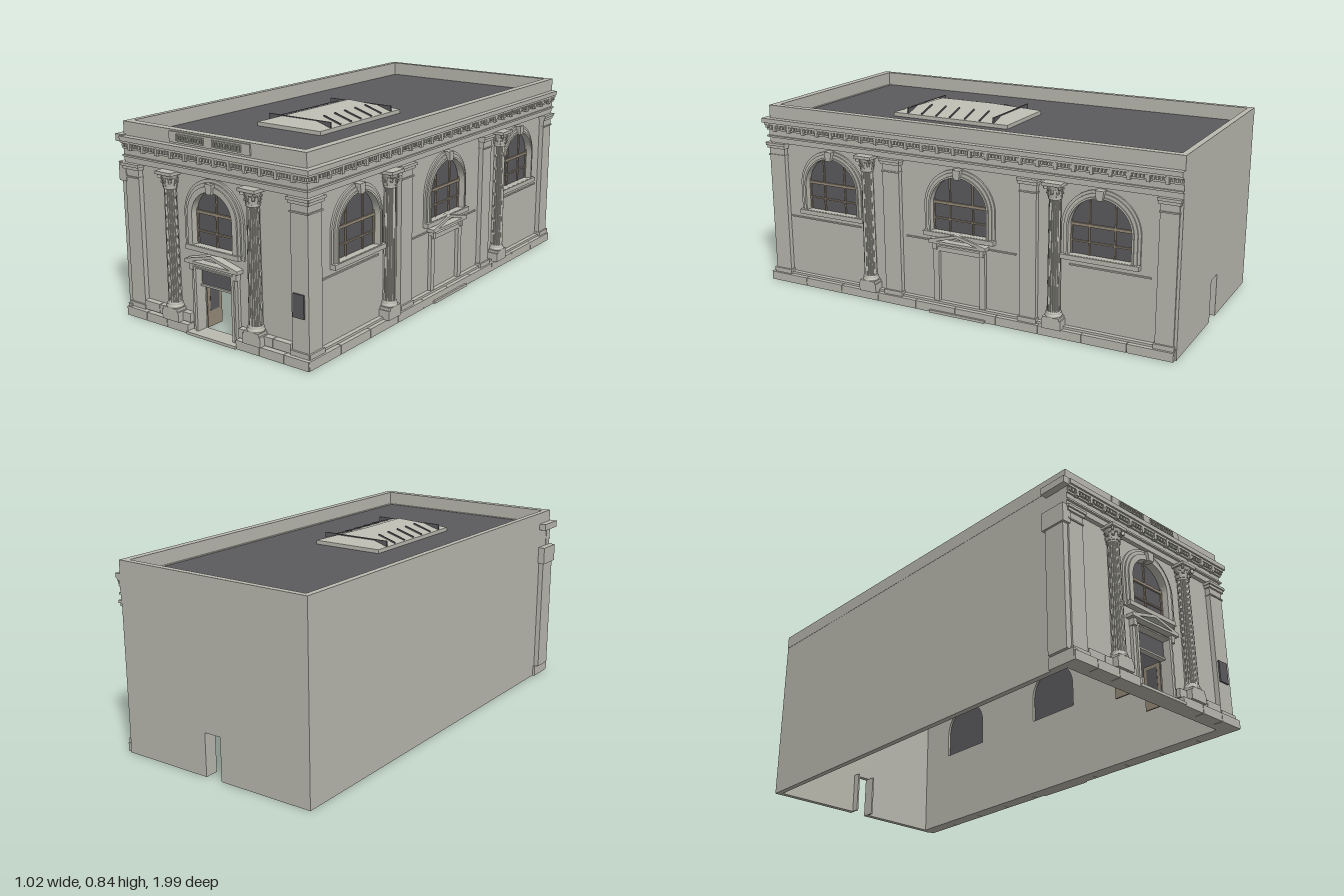
import * as THREE from 'three';

const mat = (name, color) => Object.assign(new THREE.MeshStandardMaterial({ color }), { name });
const stone = mat('stone', 0xbbbab0);
const dark = mat('dark glass and roof', 0x5b5b5e);
const wood = mat('frame brown', 0x978b79);

function add(parent, name, geo, m = stone, x = 0, y = 0, z = 0) {
  const mesh = new THREE.Mesh(geo, m);
  mesh.name = name;
  mesh.position.set(x, y, z);
  parent.add(mesh);
  return mesh;
}
// Box given by its limits: u along the facade, y up, w outward
function box(parent, name, u0, u1, y0, y1, w0, w1, m = stone) {
  return add(parent, name, new THREE.BoxGeometry(u1 - u0, y1 - y0, w1 - w0), m, (u0 + u1) / 2, (y0 + y1) / 2, (w0 + w1) / 2);
}
const poly = pts => new THREE.Shape(pts.map(p => new THREE.Vector2(p[0], p[1])));
const extrude = (shape, depth) => new THREE.ExtrudeGeometry(shape, { depth, bevelEnabled: false, curveSegments: 20 });
const flat = geo => { const g = geo.toNonIndexed(); g.computeVertexNormals(); return g; };

// Round-headed opening outline
function arch(u, r, y0, ys) {
  const s = new THREE.Shape();
  s.moveTo(u - r, y0);
  s.lineTo(u + r, y0);
  s.lineTo(u + r, ys);
  s.absarc(u, ys, r, 0, Math.PI, false);
  s.closePath();
  return s;
}

function archWindow(parent, u, r, y0, ys, verticals, bars, rim) {
  const g = new THREE.Group();
  g.name = 'archedWindow';
  g.position.x = u;
  parent.add(g);
  add(g, 'glass', extrude(arch(0, r, y0, ys), 0.004), dark, 0, 0, -0.018);
  for (const v of verticals)
    box(g, 'mullion', v - 0.003, v + 0.003, y0, ys + Math.sqrt(r * r - v * v), -0.015, -0.008, wood);
  bars.forEach((b, i) => box(g, 'transomBar', -r, r, b - (i ? 0.003 : 0.006), b + (i ? 0.003 : 0.006), -0.015, -0.007, wood));
  // Stepped surround
  [[rim, 0.008, 0.02], [rim - 0.012, 0.014, 0.012], [rim - 0.026, 0.02, 0]].forEach(([t, d, drop]) => {
    const s = arch(0, r + t, y0 - drop, ys);
    s.holes.push(arch(0, r, y0 + 0.001, ys));
    add(g, 'archSurround', extrude(s, d));
  });
  const top = ys + r;
  add(g, 'keystone', extrude(poly([[-0.013, top - 0.005], [0.013, top - 0.005], [0.018, top + 0.036], [-0.018, top + 0.036]]), 0.032));
  box(g, 'windowSill', -r - 0.035, r + 0.035, y0 - 0.02, y0, -0.015, 0.026);
}

function pediment(parent, u, y, hw) {
  const s = poly([[-hw, 0], [hw, 0], [hw, 0.015], [0, 0.05], [-hw, 0.015]]);
  s.holes.push(poly([[-hw * 0.72, 0.011], [0, 0.037], [hw * 0.72, 0.011]]));
  add(parent, 'pediment', extrude(s, 0.035), stone, u, y, 0);
  for (const k of [-1, 1]) box(parent, 'pedimentBracket', u + k * hw * 0.82 - 0.01, u + k * hw * 0.82 + 0.01, y - 0.03, y, 0, 0.025);
}

// Flat frame open at the bottom
function doorFrame(parent, u, inner, outer, yIn, yOut, d) {
  add(parent, 'doorSurround', extrude(poly([[-outer, 0], [-inner, 0], [-inner, yIn], [inner, yIn], [inner, 0], [outer, 0], [outer, yOut], [-outer, yOut]]), d), stone, u, 0, 0);
}

// Fluted column with leafy capital
function column(parent, u, y0) {
  const g = new THREE.Group();
  g.name = 'column';
  g.position.set(u, 0, 0.02);
  parent.add(g);
  box(g, 'columnPlinth', -0.038, 0.038, y0, y0 + 0.012, -0.03, 0.032);
  add(g, 'columnBase', new THREE.LatheGeometry([[0.034, 0], [0.037, 0.005], [0.034, 0.01], [0.03, 0.013], [0.033, 0.018], [0.028, 0.023]].map(p => new THREE.Vector2(...p)), 24), stone, 0, y0 + 0.012, 0);
  const h = 0.595 - y0 - 0.03;
  const shaft = new THREE.CylinderGeometry(0.025, 0.0285, h, 40, 1, true);
  const p = shaft.attributes.position;
  for (let i = 0; i < p.count; i++) if (i % 41 % 2) p.setXYZ(i, p.getX(i) * 0.9, p.getY(i), p.getZ(i) * 0.9);
  add(g, 'flutedShaft', flat(shaft), stone, 0, y0 + 0.03 + h / 2, 0);
  add(g, 'capitalBell', new THREE.LatheGeometry([[0.024, 0.59], [0.029, 0.594], [0.025, 0.6], [0.027, 0.625], [0.036, 0.65]].map(q => new THREE.Vector2(...q)), 20));
  for (let i = 0; i < 16; i++) {
    const row = i % 2, leaf = new THREE.Group();
    leaf.name = 'capitalLeaf';
    leaf.rotation.y = i * Math.PI / 8;
    g.add(leaf);
    const stem = box(leaf, 'leafBlade', -0.006, 0.006, 0.6, 0.618 + row * 0.016, 0.026, 0.03);
    stem.rotation.x = 0.15;
    box(leaf, 'leafTip', -0.005, 0.005, 0.615 + row * 0.016, 0.62 + row * 0.016, 0.027, 0.036);
  }
  for (const sx of [-1, 1]) for (const sz of [-1, 1]) {
    const v = add(g, 'volute', new THREE.CylinderGeometry(0.008, 0.008, 0.008, 12), stone, sx * 0.031, 0.642, sz * 0.028);
    v.rotation.set(Math.PI / 2, 0, sx * sz * Math.PI / 4);
  }
  box(g, 'abacus', -0.043, 0.043, 0.65, 0.663, -0.02, 0.04);
}

function pilaster(parent, u0, u1) {
  box(parent, 'pilasterShaft', u0, u1, 0.04, 0.66, 0, 0.022);
  box(parent, 'pilasterBase', u0 - 0.005, u1 + 0.005, 0.04, 0.06, 0, 0.03);
  box(parent, 'pilasterNeck', u0 - 0.003, u1 + 0.003, 0.6, 0.606, 0, 0.027);
  box(parent, 'pilasterCap', u0 - 0.006, u1 + 0.006, 0.635, 0.648, 0, 0.03);
  box(parent, 'pilasterAbacus', u0 - 0.01, u1 + 0.01, 0.648, 0.66, 0, 0.036);
}

// Masonry blocks with open joints
function course(parent, u0, u1, y0, y1, w, step) {
  const n = Math.max(1, Math.round((u1 - u0) / step)), d = (u1 - u0) / n;
  for (let i = 0; i < n; i++) box(parent, 'plinthBlock', u0 + i * d + 0.0012, u0 + (i + 1) * d - 0.0012, y0, y1, 0, w);
}

function dentils(parent, u0, u1) {
  for (let u = u0 + 0.008; u < u1; u += 0.0155) box(parent, 'dentil', u - 0.005, u + 0.005, 0.727, 0.74, 0, 0.034);
  for (let u = u0 + 0.045; u < u1; u += 0.077) box(parent, 'corniceBracket', u - 0.007, u + 0.007, 0.715, 0.745, 0, 0.037);
}

export function createModel() {
  const model = new THREE.Group();
  model.name = 'civicBuilding';
  const front = new THREE.Group(), side = new THREE.Group();
  front.name = 'frontFacade';
  front.position.z = 0.94;
  side.name = 'sideFacade';
  side.position.x = 0.45;
  side.rotation.y = Math.PI / 2;
  model.add(front, side);
  const C = -0.0075;

  // Hollow shell, open underneath
  const fw = poly([[-0.475, 0], [C - 0.093, 0], [C - 0.093, 0.28], [C + 0.093, 0.28], [C + 0.093, 0], [0.445, 0], [0.445, 0.77], [-0.475, 0.77]]);
  fw.holes.push(arch(C, 0.105, 0.375, 0.5));
  add(front, 'frontWall', extrude(fw, 0.03), stone, 0, 0, -0.03);
  const sideWindows = [-0.635, 0.015, 0.655];
  const sw = poly([[-0.94, 0], [0.985, 0], [0.985, 0.77], [-0.94, 0.77]]);
  sideWindows.forEach(u => sw.holes.push(arch(u, 0.135, 0.365, 0.48)));
  add(side, 'sideWall', extrude(sw, 0.03), stone, 0, 0, -0.03);
  box(model, 'leftWall', -0.48, -0.455, 0, 0.82, -0.985, 0.94);
  add(model, 'backWall', extrude(poly([[-0.48, 0], [-0.04, 0], [-0.04, 0.19], [0.04, 0.19], [0.04, 0], [0.465, 0], [0.465, 0.82], [-0.48, 0.82]]), 0.025), stone, 0, 0, -0.99);
  for (const k of [-1, 1]) box(model, 'backDoorJamb', k * 0.044 - 0.004, k * 0.044 + 0.004, 0, 0.19, -0.97, -0.93);
  box(model, 'roofDeck', -0.46, 0.44, 0.755, 0.768, -0.97, 0.925, dark);
  const ring = poly([[-0.481, -0.956], [0.466, -0.956], [0.466, 0.991], [-0.481, 0.991]]);
  ring.holes.push(poly([[-0.455, -0.92], [0.432, -0.92], [0.432, 0.965], [-0.455, 0.965]]));
  const parapet = add(model, 'parapet', extrude(ring, 0.06), stone, 0, 0.77, 0);
  parapet.rotation.x = -Math.PI / 2;

  // Entablature bands wrapping the front and the right side
  for (const [y0, y1, o] of [[0.66, 0.685, 0.018], [0.685, 0.693, 0.028], [0.693, 0.718, 0.02], [0.718, 0.726, 0.027], [0.726, 0.742, 0.024], [0.742, 0.752, 0.036], [0.752, 0.772, 0.043]]) {
    const z = 0.94 + o, x = 0.45 + o;
    const band = add(model, 'entablatureBand', extrude(poly([[-0.482, -z], [x, -z], [x, 0.99], [0.435, 0.99], [0.435, -0.925], [-0.482, -0.925]]), y1 - y0), stone, 0, y0, 0);
    band.rotation.x = -Math.PI / 2;
  }
  dentils(front, -0.48, 0.475);
  dentils(side, -0.965, 0.985);

  // Corner return on the left face
  box(model, 'returnPilaster', -0.503, -0.47, 0.05, 0.64, 0.86, 0.955);
  box(model, 'returnCapital', -0.511, -0.47, 0.58, 0.66, 0.85, 0.965);
  box(model, 'returnCornice', -0.511, -0.47, 0.747, 0.777, 0.85, 0.975);
  box(model, 'returnPlinth', -0.49, -0.47, 0, 0.05, 0.85, 0.975);

  // Front facade
  course(front, -0.49, C - 0.128, 0, 0.038, 0.043, 0.11);
  course(front, C + 0.128, 0.485, 0, 0.038, 0.043, 0.11);
  course(front, -0.4, C - 0.128, 0.042, 0.08, 0.026, 0.1);
  course(front, C + 0.128, 0.385, 0.042, 0.08, 0.026, 0.1);
  pilaster(front, -0.478, -0.4);
  pilaster(front, 0.39, 0.472);
  for (const k of [-1, 1]) {
    box(front, 'columnPedestal', C + k * 0.217 - 0.045, C + k * 0.217 + 0.045, 0.04, 0.082, 0, 0.052);
    column(front, C + k * 0.217, 0.082);
  }
  archWindow(front, C, 0.105, 0.375, 0.5, [-0.102, 0, 0.102], [0.508, 0.43], 0.05);
  doorFrame(front, C, 0.093, 0.122, 0.28, 0.295, 0.014);
  doorFrame(front, C, 0.093, 0.106, 0.28, 0.286, 0.022);
  pediment(front, C, 0.302, 0.14);
  box(front, 'doorTransomGlass', C - 0.093, C + 0.093, 0.208, 0.28, -0.02, -0.012, dark);
  box(front, 'doorHeader', C - 0.093, C + 0.093, 0.2, 0.208, -0.03, -0.004);
  box(front, 'entranceStep', C - 0.132, C + 0.132, 0, 0.012, -0.03, 0.05);
  for (const k of [-1, 1]) {
    const u = C + k * 0.09;
    box(front, 'openDoorLeaf', u - 0.003, u + 0.003, 0.012, 0.2, -0.115, -0.032, wood);
    box(front, 'doorPane', u - 0.004, u + 0.004, 0.08, 0.185, -0.1, -0.047, dark);
  }
  box(front, 'noticePlate', 0.4, 0.453, 0.195, 0.29, 0.022, 0.029, dark);

  // Parapet panel with two pierced grilles
  box(front, 'parapetPanel', C - 0.21, C + 0.21, 0.78, 0.824, 0.01, 0.022);
  for (const k of [-1, 1]) {
    const u = C + k * 0.095;
    for (const y of [0.789, 0.812]) box(front, 'grilleRail', u - 0.072, u + 0.072, y, y + 0.005, 0.02, 0.029);
    for (let i = 0; i < 11; i++) box(front, 'grilleBar', u - 0.072 + i * 0.0139, u - 0.067 + i * 0.0139, 0.794, 0.812, 0.02, 0.028);
  }

  // Right side facade
  course(side, -0.98, 0.985, 0, 0.038, 0.036, 0.19);
  box(side, 'plinthCap', -0.96, 0.985, 0.04, 0.05, 0, 0.02);
  for (const [a, b] of [[-0.962, -0.88], [-0.355, -0.272], [0.305, 0.38], [0.9, 0.978]]) pilaster(side, a, b);
  for (const u of [-0.435, 0.462]) {
    box(side, 'columnPedestal', u - 0.043, u + 0.043, 0.04, 0.08, 0, 0.05);
    column(side, u, 0.08);
  }
  for (const u of sideWindows) archWindow(side, u, 0.135, 0.365, 0.48, [-0.132, -0.055, 0.055, 0.132], [0.49, 0.42], 0.034);
  for (const [a, b] of [[-0.87, -0.49], [-0.25, 0.28], [0.52, 0.87]]) box(side, 'stringCourse', a, b, 0.316, 0.322, 0, 0.006);
  pediment(side, 0.015, 0.318, 0.138);
  doorFrame(side, 0.015, 0.098, 0.125, 0.28, 0.3, 0.016);
  box(side, 'sideStep', -0.12, 0.15, 0, 0.012, 0, 0.045);

  // Hipped skylight
  box(model, 'skylightCurb', -0.172, 0.164, 0.76, 0.785, -0.09, 0.49);
  const hip = new THREE.BufferGeometry();
  hip.setAttribute('position', new THREE.Float32BufferAttribute([-0.172, 0.785, -0.09, 0.164, 0.785, -0.09, 0.164, 0.785, 0.49, -0.172, 0.785, 0.49, -0.004, 0.836, 0.07, -0.004, 0.836, 0.33], 3));
  hip.setIndex([0, 4, 1, 1, 4, 5, 1, 5, 2, 2, 5, 3, 3, 5, 4, 3, 4, 0]);
  add(model, 'skylightHip', flat(hip));
  for (const z of [0.05, 0.125, 0.2, 0.27, 0.345]) for (const k of [-1, 1]) {
    const rib = add(model, 'skylightRib', new THREE.BoxGeometry(0.092, 0.01, 0.006), dark, -0.004 + k * 0.118, 0.801, z);
    rib.rotation.z = -k * 0.295;
  }
  for (const z of [-0.02, 0.415]) box(model, 'skylightEndRib', -0.17, 0.162, 0.783, 0.811, z - 0.003, z + 0.003, dark);
  return model;
}
